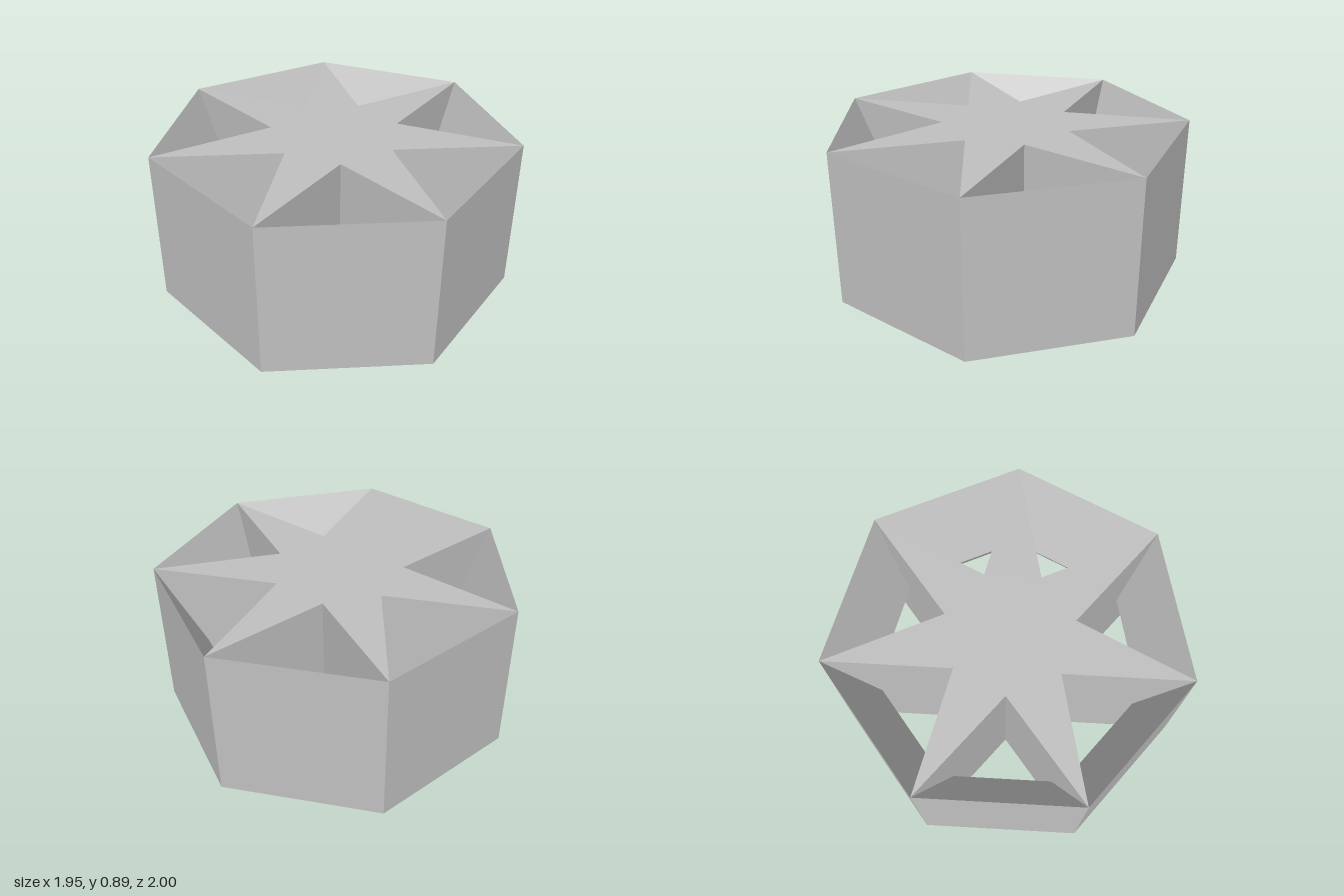
import * as THREE from 'three';

const N = 7;
const R = 1 / Math.cos(Math.PI / 14);          // corner radius, giving a depth of 2
const APOTHEM = R * Math.cos(Math.PI / N);
const HALF = R * Math.sin(Math.PI / N);        // half an outer side
const HEIGHT = 2 * HALF;                       // outer faces are square
const NOTCH = R * Math.cos(3 * Math.PI / N) / Math.cos(2 * Math.PI / N);

// Upright prism on a seven-pointed star
function starPrism() {
  const points = [];
  for (let i = 0; i < 2 * N; i++) {
    const r = i % 2 ? R : NOTCH;
    const a = i * Math.PI / N;
    points.push(new THREE.Vector2(r * Math.cos(a), r * Math.sin(a)));
  }
  const geo = new THREE.ExtrudeGeometry(new THREE.Shape(points), { depth: HEIGHT, bevelEnabled: false });
  return geo.rotateX(-Math.PI / 2);
}

// Square outer wall whose two inner slopes meet in a ridge at half height;
// the ridge ends on the star's walls
function wallWedge() {
  const inset = HALF / Math.tan(2.5 * Math.PI / N);
  const ridge = HALF - inset / Math.tan(2 * Math.PI / N);
  const b0 = [APOTHEM, 0, -HALF], b1 = [APOTHEM, 0, HALF];
  const t0 = [APOTHEM, HEIGHT, -HALF], t1 = [APOTHEM, HEIGHT, HALF];
  const r0 = [APOTHEM - inset, HALF, -ridge], r1 = [APOTHEM - inset, HALF, ridge];
  const quads = [[b0, t0, t1, b1], [t1, t0, r0, r1], [b0, b1, r1, r0]];
  const pos = quads.flatMap(([a, b, c, d]) => [a, b, c, a, c, d].flat());
  const geo = new THREE.BufferGeometry();
  geo.setAttribute('position', new THREE.Float32BufferAttribute(pos, 3));
  geo.computeVertexNormals();
  return geo;
}

export function createModel() {
  const grey = new THREE.MeshStandardMaterial({ color: 0xc0c0c0 });
  grey.name = 'grey';
  const group = new THREE.Group();
  group.name = 'starDrum';

  const star = new THREE.Mesh(starPrism(), grey);
  star.name = 'starPrism';
  group.add(star);

  // Ring of seven walls closing the star's notches
  const wedge = wallWedge();
  for (let i = 0; i < N; i++) {
    const wall = new THREE.Mesh(wedge, grey);
    wall.name = 'outerWall' + (i + 1);
    wall.rotation.y = i * 2 * Math.PI / N;
    group.add(wall);
  }

  // Centre the bounding box on x = 0
  for (const part of group.children) part.position.x = (R - APOTHEM) / 2;
  return group;
}
